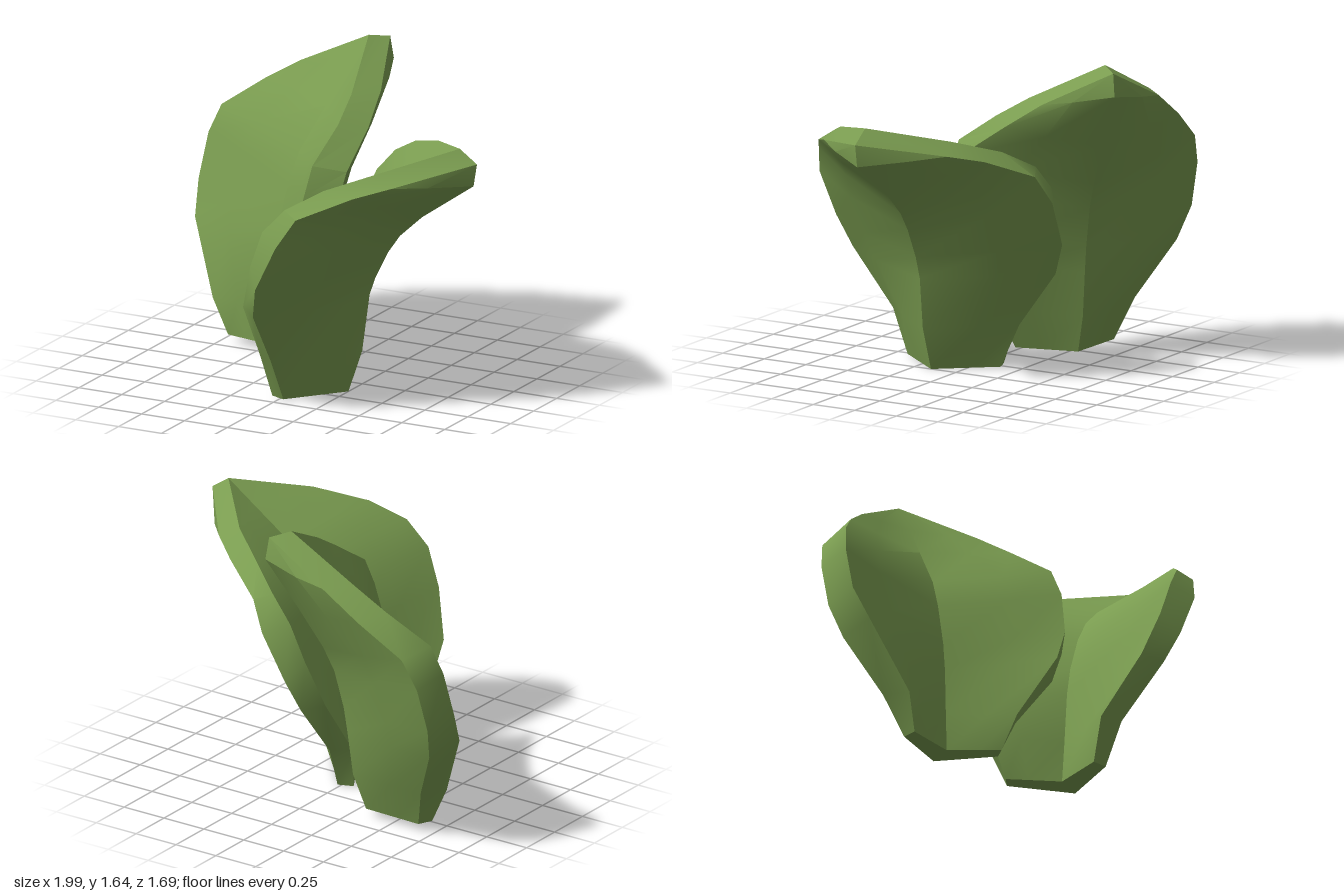
import * as THREE from 'three';
import { toCreasedNormals } from 'three/addons/utils/BufferGeometryUtils.js';

// Each row runs from base to tip, in the leaf's own frame (x outward, z across):
// [outer rim x, y, half width,  inner rim x, y, half width,  outer rib x, y,  inner rib x, y]
const BENT_ROWS = [
  [0.02, 0, 0.28, -0.06, 0, 0.25, 0.25, 0, 0.09, 0],
  [0, 0.23, 0.38, -0.1, 0.23, 0.31, 0.33, 0.23, 0.12, 0.24],
  [0.02, 0.53, 0.61, -0.08, 0.55, 0.53, 0.36, 0.5, 0.15, 0.52],
  [0.07, 0.7, 0.68, 0, 0.8, 0.6, 0.4, 0.62, 0.19, 0.68],
  [0.2, 0.95, 0.7, 0.08, 1.0, 0.62, 0.48, 0.78, 0.28, 0.88],
  [0.29, 1.1, 0.65, 0.2, 1.13, 0.6, 0.55, 0.88, 0.38, 1.02],
  [0.54, 1.21, 0.5, 0.37, 1.23, 0.5, 0.68, 1.0, 0.52, 1.14],
  [0.7, 1.255, 0.37, 0.6, 1.31, 0.33, 0.98, 1.21, 0.74, 1.29],
  [1.0, 1.33, 0, 0.9, 1.4, 0, 1.0, 1.33, 0.9, 1.4],
];
const UPRIGHT_ROWS = [
  [-0.11, 0.04, 0.27, -0.19, 0.04, 0.25, 0.09, 0.04, -0.06, 0.04],
  [-0.09, 0.26, 0.38, -0.25, 0.23, 0.31, 0.16, 0.24, -0.05, 0.25],
  [-0.07, 0.55, 0.6, -0.25, 0.6, 0.54, 0.19, 0.48, -0.04, 0.5],
  [-0.04, 0.73, 0.67, -0.2, 0.78, 0.61, 0.21, 0.62, -0.02, 0.66],
  [0.02, 0.97, 0.68, -0.14, 1.02, 0.62, 0.26, 0.83, 0.04, 0.9],
  [0.09, 1.13, 0.64, -0.08, 1.17, 0.59, 0.32, 0.97, 0.1, 1.06],
  [0.28, 1.3, 0.48, 0.12, 1.33, 0.46, 0.45, 1.2, 0.25, 1.29],
  [0.42, 1.44, 0.32, 0.25, 1.44, 0.33, 0.63, 1.5, 0.36, 1.46],
  [0.61, 1.62, 0, 0.49, 1.64, 0, 0.61, 1.62, 0.49, 1.64],
];

// Five points across one face of a leaf: rim, swollen side, rib, swollen side, rim
function acrossFace(rimX, rimY, half, ribX, ribY, bulge) {
  return [-1, -0.6, 0, 0.6, 1].map((t) => {
    const k = Math.abs(t);
    const swell = k === 0.6 ? bulge : 0;
    return [ribX + (rimX - ribX) * k + swell, ribY + (rimY - ribY) * k, half * t];
  });
}

// Thick folded leaf: closed cross-section loops joined row by row
function leafGeometry(rows) {
  const positions = [];
  const indices = [];
  const size = 10;
  rows.forEach(([ox, oy, oh, ix, iy, ih, mx, my, nx, ny], i) => {
    const swell = Math.sin((Math.PI * i) / (rows.length - 1));
    const outer = acrossFace(ox, oy, oh, mx, my, 0.05 * swell);
    const inner = acrossFace(ix, iy, ih, nx, ny, 0.015 * swell).reverse();
    positions.push(...outer.flat(), ...inner.flat());
  });
  for (let i = 0; i < rows.length - 1; i++) {
    for (let j = 0; j < size; j++) {
      const a = i * size + j;
      const b = i * size + ((j + 1) % size);
      // the last row narrows to the tip, so only one triangle is needed on each face
      const last = i === rows.length - 2;
      indices.push(a, a + size, b);
      if (!last || j % 5 === 4) indices.push(b, a + size, b + size);
    }
  }
  // flat underside of the base
  for (let k = 0; k < 4; k++) {
    indices.push(k, k + 1, 9 - k, k + 1, 8 - k, 9 - k);
  }
  const geometry = new THREE.BufferGeometry();
  geometry.setAttribute('position', new THREE.Float32BufferAttribute(positions, 3));
  geometry.setIndex(indices);
  return toCreasedNormals(geometry, 0.5);
}

export function createModel() {
  const model = new THREE.Group();
  model.name = 'leafPair';
  const green = new THREE.MeshStandardMaterial({ color: 0x7a9c50 });

  const addLeaf = (name, rows, x, z, turn) => {
    const leaf = new THREE.Mesh(leafGeometry(rows), green);
    leaf.name = name;
    leaf.position.set(x, 0, z);
    leaf.rotation.y = turn;
    model.add(leaf);
  };

  addLeaf('bentLeaf', BENT_ROWS, 0, 0.15, 0);
  addLeaf('uprightLeaf', UPRIGHT_ROWS, -0.39, -0.31, 0.9);
  return model;
}
